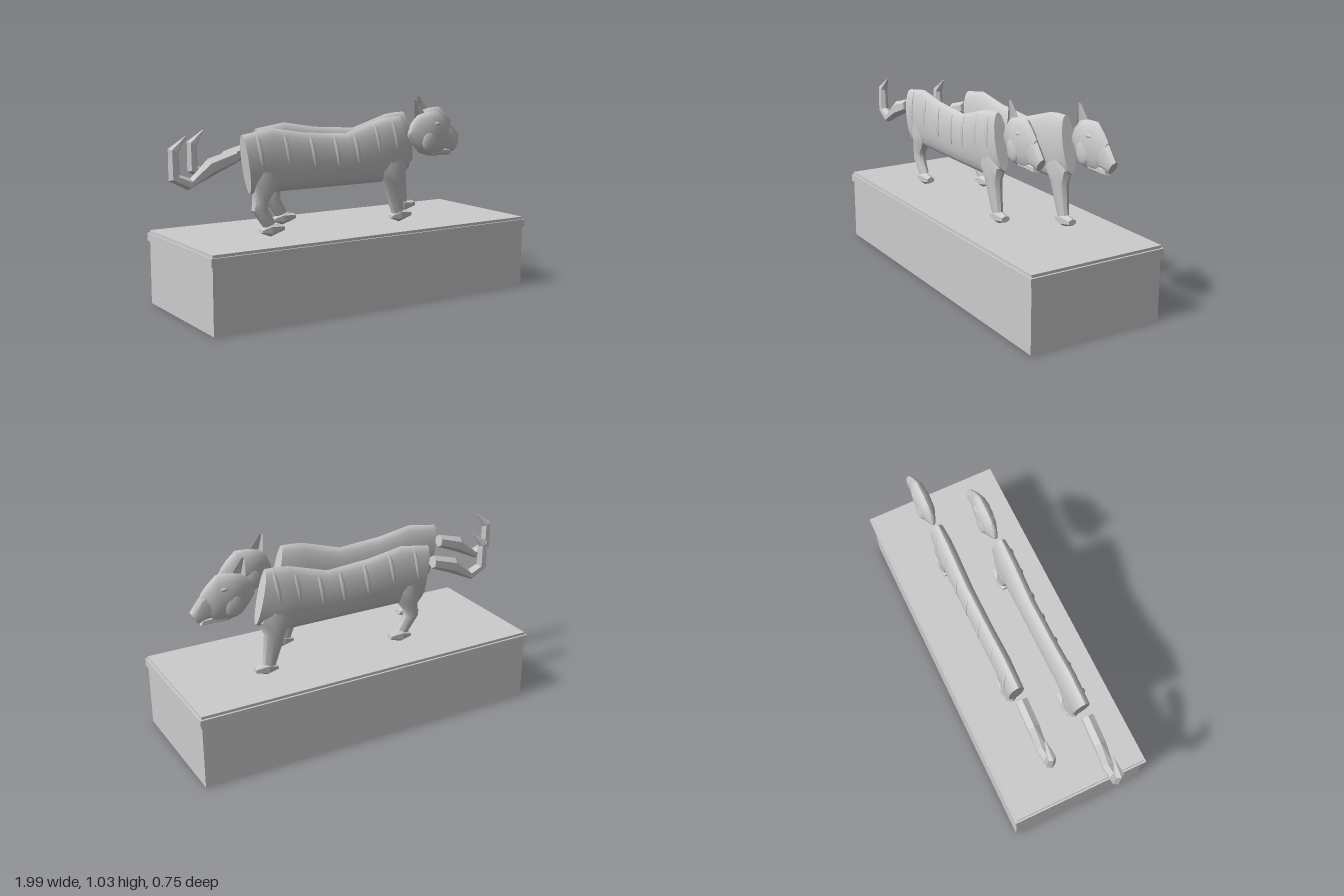
import * as THREE from 'three';
import { toCreasedNormals } from 'three/addons/utils/BufferGeometryUtils.js';

const stone = new THREE.MeshStandardMaterial({ color: 0xcccccc });
stone.name = 'paleStone';

// Capped loft: each station is [ax, ay, bx, by, halfWidth], an ellipse from a to b,
// where a lies to the left of the direction of travel.
function loft(stations, sides, crease) {
  const pos = [], index = [];
  for (const [ax, ay, bx, by, w] of stations) {
    for (let i = 0; i < sides; i++) {
      const t = (i / sides) * Math.PI * 2, c = Math.cos(t) / 2;
      pos.push((ax + bx) / 2 + c * (ax - bx), (ay + by) / 2 + c * (ay - by), Math.sin(t) * w);
    }
  }
  const last = (stations.length - 1) * sides;
  for (let s = 0; s < last; s += sides) {
    for (let i = 0; i < sides; i++) {
      const j = (i + 1) % sides;
      index.push(s + i, s + j, s + sides + i, s + j, s + sides + j, s + sides + i);
    }
  }
  for (let i = 1; i < sides - 1; i++) {
    index.push(0, i + 1, i, last, last + i, last + i + 1);
  }
  const g = new THREE.BufferGeometry();
  g.setAttribute('position', new THREE.Float32BufferAttribute(pos, 3));
  g.setIndex(index);
  return toCreasedNormals(g, crease);
}

function add(group, name, geometry, x = 0, y = 0, z = 0) {
  const mesh = new THREE.Mesh(geometry, stone);
  mesh.name = name;
  mesh.position.set(x, y, z);
  group.add(mesh);
  return mesh;
}

const BODY = [
  [-0.615, 0.9, -0.575, 0.61, 0.04],
  [-0.45, 0.925, -0.44, 0.61, 0.044],
  [-0.26, 0.893, -0.25, 0.61, 0.042],
  [-0.02, 0.877, -0.02, 0.61, 0.042],
  [0.19, 0.94, 0.17, 0.61, 0.045],
  [0.25, 0.948, 0.27, 0.615, 0.045],
  [0.315, 0.95, 0.378, 0.67, 0.036],
];

// Height of the back at x
function backHeight(x) {
  const i = Math.max(1, BODY.findIndex((s) => s[0] >= x));
  const p = BODY[i - 1], q = BODY[i];
  return p[1] + ((q[1] - p[1]) * (x - p[0])) / (q[0] - p[0]);
}

// Raised lens that follows the curve of the flank
function stripeGeometry(x) {
  const top = backHeight(x), mid = (top + 0.61) / 2, half = (top - 0.61) / 2;
  const g = new THREE.SphereGeometry(1, 8, 12);
  g.scale(0.013, 0.08, 0.009);
  const p = g.attributes.position;
  for (let i = 0; i < p.count; i++) {
    const v = p.getY(i), y = top - 0.095 + v;
    const k = Math.min(1, Math.abs((y - mid) / half));
    p.setXYZ(i, x + p.getX(i) - v * 0.15, y, p.getZ(i) + 0.041 * Math.sqrt(1 - k * k));
  }
  g.computeVertexNormals();
  return g;
}

function paw(group, name, x) {
  add(group, name, loft([
    [x, 0.43, x, 0.408, 0.022],
    [x + 0.05, 0.458, x + 0.055, 0.387, 0.03],
    [x + 0.123, 0.442, x + 0.125, 0.41, 0.025],
  ], 6, 0.1));
}

function buildCat(side) {
  const cat = new THREE.Group();
  add(cat, 'body', loft(BODY, 20, 0.7));

  // Stripes on the outer flank only
  for (const x of [-0.53, -0.38, -0.23, -0.09, 0.03, 0.16, 0.27]) {
    const stripe = add(cat, 'stripe', stripeGeometry(x));
    if (side < 0) stripe.rotation.y = Math.PI, stripe.geometry.translate(-2 * x, 0, 0);
  }

  // Legs and paws
  add(cat, 'frontLeg', loft([
    [0.34, 0.74, 0.19, 0.73, 0.04],
    [0.37, 0.68, 0.16, 0.67, 0.046],
    [0.335, 0.61, 0.21, 0.61, 0.038],
    [0.348, 0.45, 0.277, 0.432, 0.024],
  ], 10, 0.6));
  paw(cat, 'frontPaw', 0.267);
  add(cat, 'hindLeg', loft([
    [-0.43, 0.74, -0.56, 0.74, 0.04],
    [-0.405, 0.68, -0.578, 0.67, 0.046],
    [-0.435, 0.615, -0.56, 0.61, 0.038],
    [-0.472, 0.565, -0.56, 0.56, 0.033],
    [-0.475, 0.53, -0.566, 0.525, 0.03],
    [-0.435, 0.46, -0.5, 0.435, 0.024],
  ], 10, 0.6));
  paw(cat, 'hindPaw', -0.515);

  // Curled tail, set just behind the body
  add(cat, 'tail', loft([
    [-0.645, 0.765, -0.655, 0.835, 0.034],
    [-0.77, 0.715, -0.795, 0.797, 0.034],
    [-0.9, 0.655, -0.885, 0.71, 0.031],
    [-0.997, 0.705, -0.94, 0.73, 0.027],
    [-0.997, 0.855, -0.945, 0.835, 0.024],
    [-0.907, 0.912, -0.903, 0.908, 0.003],
  ], 6, 0.1));

  // Head
  const head = new THREE.Group();
  head.name = 'head';
  cat.add(head);
  add(head, 'skull', loft([
    [0.378, 0.86, 0.38, 0.835, 0.008],
    [0.4, 0.91, 0.41, 0.79, 0.02],
    [0.44, 0.95, 0.455, 0.745, 0.034],
    [0.5, 0.965, 0.52, 0.728, 0.042],
    [0.57, 0.968, 0.56, 0.727, 0.04],
    [0.62, 0.925, 0.585, 0.73, 0.033],
    [0.655, 0.885, 0.6, 0.74, 0.022],
  ], 16, 0.8));
  add(head, 'muzzle', loft([
    [0.6, 0.91, 0.55, 0.765, 0.032],
    [0.66, 0.875, 0.605, 0.755, 0.028],
    [0.712, 0.807, 0.672, 0.742, 0.022],
  ], 8, 0.6));
  add(head, 'lowerJaw', loft([
    [0.53, 0.775, 0.53, 0.73, 0.026],
    [0.65, 0.765, 0.66, 0.727, 0.018],
  ], 6, 0.1));
  add(head, 'ear', loft([
    [0.495, 0.945, 0.422, 0.885, 0.03],
    [0.44, 1.022, 0.415, 1.03, 0.006],
  ], 6, 0.1));
  for (const s of [-1, 1]) {
    add(head, 'eye', new THREE.SphereGeometry(1, 10, 8), 0.545, 0.9, s * 0.032).scale.set(0.022, 0.011, 0.009);
    add(head, 'cheek', new THREE.SphereGeometry(1, 12, 8), 0.5, 0.81, s * 0.03).scale.set(0.05, 0.06, 0.016);
  }
  return cat;
}

export function createModel() {
  const model = new THREE.Group();

  // Plinth with a projecting band
  const plinth = new THREE.Group();
  plinth.name = 'plinth';
  model.add(plinth);
  add(plinth, 'plinthBlock', new THREE.BoxGeometry(1.88, 0.385, 0.73), 0.045, 0.1925, 0);
  add(plinth, 'plinthBand', new THREE.BoxGeometry(1.9, 0.04, 0.75), 0.045, 0.351, 0);

  const front = buildCat(1);
  front.name = 'frontCat';
  front.position.set(0, 0, 0.126);
  const rear = buildCat(-1);
  rear.name = 'rearCat';
  rear.position.set(0.21, 0, -0.126);
  model.add(front, rear);
  return model;
}
